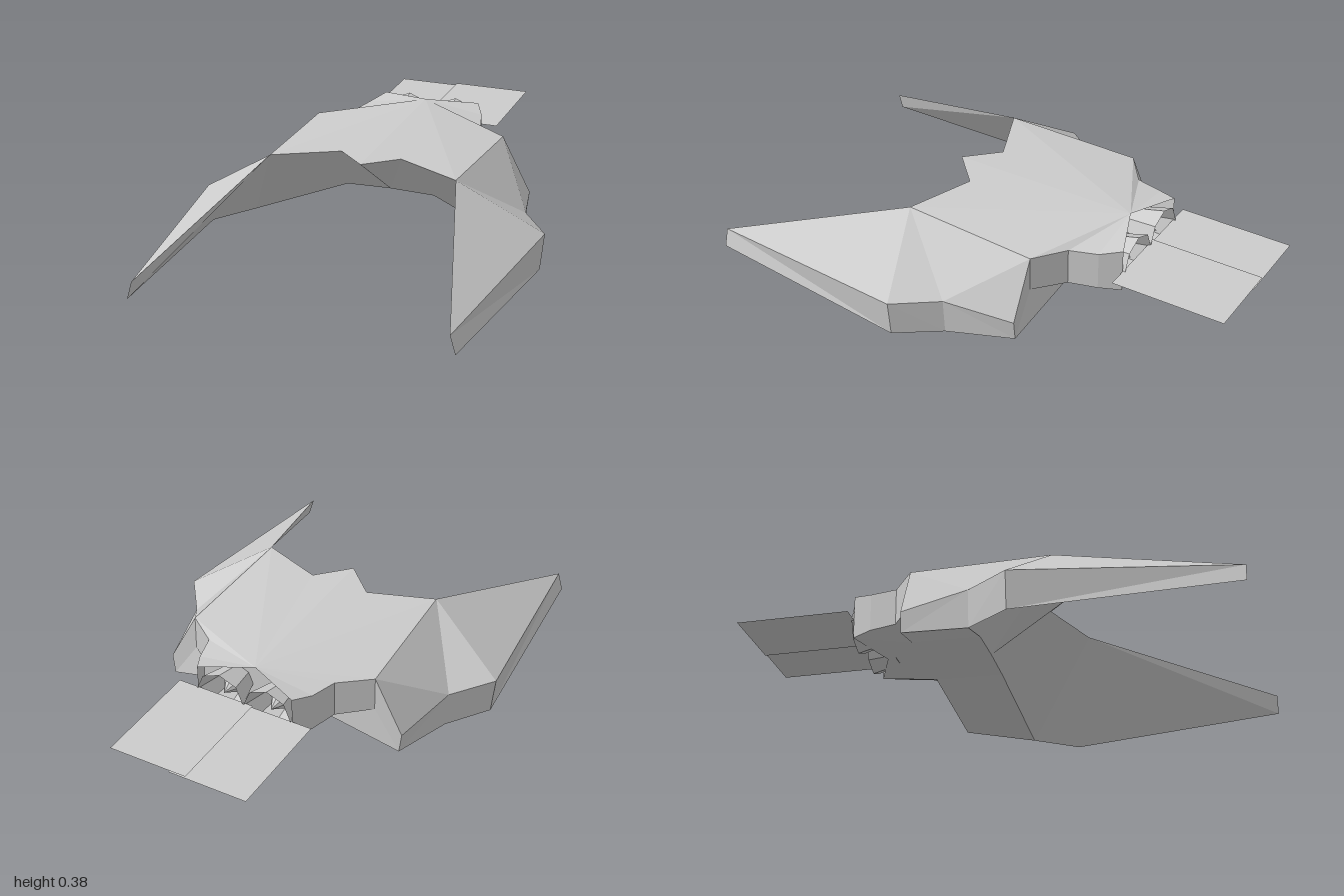
import * as THREE from 'three';

const material = new THREE.MeshStandardMaterial({ color: 0xcccccc, flatShading: true, side: THREE.DoubleSide });

// Named hull corners of the +x half
const P = {
  // deck
  nose: [0, 0.375, 0.28], notch: [0.12, 0.37, 0.165], shoulder: [0.37, 0.36, 0.27], root: [0.39, 0.34, -0.27],
  tail1: [0.27, 0.337, -0.36], tail2: [0.24, 0.342, -0.47], tail3: [0.2, 0.36, -0.55], deckEnd: [0, 0.38, -0.47],
  // wing
  tipTop: [0.59, 0.12, 1], tipLow: [0.61, 0.05, 1], elbow: [0.685, 0.15, 0.165], elbowLow: [0.67, 0.003, 0.165],
  waist: [0.565, 0.15, 0], waistLow: [0.555, 0.003, 0], heel: [0.505, 0.12, -0.27], heelLow: [0.495, 0.04, -0.27],
  rootLow: [0.39, 0.2, -0.27],
  // belly
  bellyMid: [0, 0.15, -0.05], belly: [0.18, 0.145, -0.05], bellyRear: [0.18, 0.15, -0.32], bellyRearMid: [0, 0.15, -0.32],
  low1: [0.27, 0.19, -0.36], low2: [0.24, 0.19, -0.47], low3: [0.2, 0.185, -0.55], bellyEnd: [0, 0.175, -0.47],
  // engine bay
  bayTop: [0, 0.375, -0.43], bayTopSide: [0.25, 0.34, -0.43], bayLowSide: [0.25, 0.19, -0.43], bayLow: [0, 0.165, -0.43],
};

const parts = {
  deck: ['deckEnd nose notch shoulder root tail1 tail2 tail3'],
  wing: [
    'shoulder tipTop elbow waist', 'root shoulder waist heel',
    'tipTop tipLow elbowLow elbow', 'elbow elbowLow waistLow waist', 'waist waistLow heelLow heel',
    'shoulder elbowLow tipLow tipTop', 'shoulder belly waistLow elbowLow', 'root heel heelLow rootLow',
    'bellyRear rootLow heelLow waistLow belly',
  ],
  frontFace: ['bellyMid belly notch nose', 'belly shoulder notch'],
  belly: ['bellyRearMid bellyRear belly bellyMid'],
  tailUnderside: ['bellyRear bellyEnd low3 low2 low1 rootLow', 'bellyRear bellyRearMid bellyEnd'],
  tailWall: ['root rootLow low1 tail1', 'tail1 low1 low2 tail2', 'tail2 low2 low3 tail3'],
  engineBulkhead: ['bayTop bayTopSide bayLowSide bayLow'],
};

// Fans each face into triangles; side -1 mirrors across x and reverses the winding
function facets(faces, side) {
  const pos = [];
  for (const face of faces) {
    const c = face.split(' ').map(n => P[n]);
    for (let i = 1; i < c.length - 1; i++) {
      const tri = side > 0 ? [c[0], c[i], c[i + 1]] : [c[0], c[i + 1], c[i]];
      for (const [x, y, z] of tri) pos.push(x * side, y, z);
    }
  }
  const g = new THREE.BufferGeometry();
  g.setAttribute('position', new THREE.Float32BufferAttribute(pos, 3));
  g.computeVertexNormals();
  return g;
}

export function createModel() {
  const group = new THREE.Group();
  const add = (name, geometry) => {
    const mesh = new THREE.Mesh(geometry, material);
    mesh.name = name;
    group.add(mesh);
    return mesh;
  };

  for (const side of [1, -1]) {
    const prefix = side > 0 ? 'left ' : 'right ';

    // Faceted hull half
    for (const [name, faces] of Object.entries(parts)) add(prefix + name, facets(faces, side));

    // Flared engine nozzle with a cone inside
    const nozzle = new THREE.CylinderGeometry(0.065, 0.1, 0.13, 8, 1, true).rotateX(Math.PI / 2);
    add(prefix + 'nozzle', nozzle).position.set(side * 0.1, 0.265, -0.495);
    const cone = new THREE.ConeGeometry(0.06, 0.1, 8).rotateX(-Math.PI / 2);
    add(prefix + 'nozzleCone', cone).position.set(side * 0.1, 0.265, -0.48);

    // Flat exhaust panel, the pair overlapping slightly at the centre
    const panel = new THREE.PlaneGeometry(0.315, 0.45).rotateX(-Math.PI / 2);
    add(prefix + 'exhaustPanel', panel).position.set(side * 0.1225, 0.266 + side * 0.004, -0.775);
  }
  return group;
}
